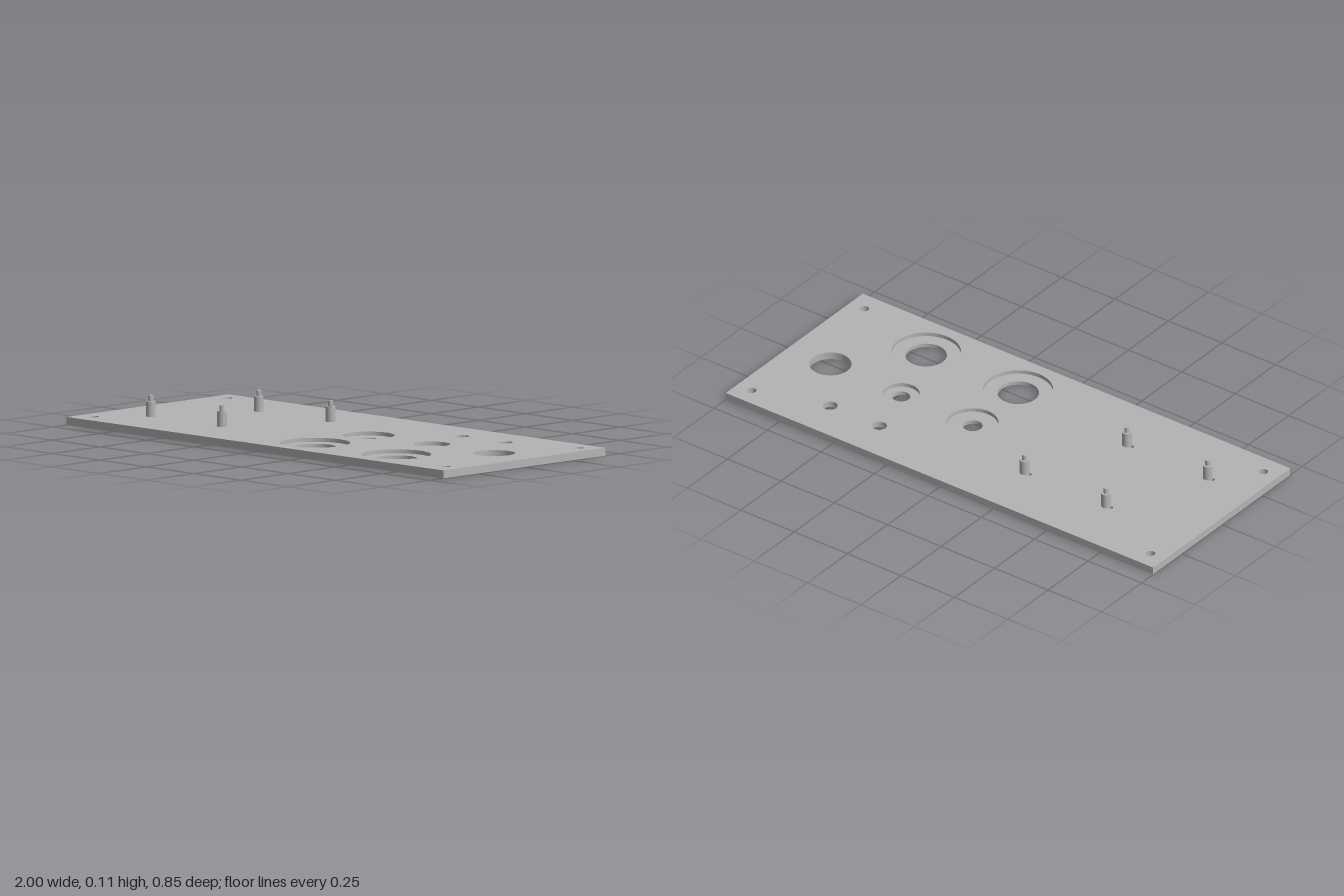
import * as THREE from 'three';

const W = 2, D = 0.854, T = 0.03, HALF = T / 2;

// Round openings: [x, z, radius in lower half, radius in upper half] (0 = closed)
const openings = [
  // countersunk control holes, recessed from above
  [0.14, 0.25, 0.078, 0.131],
  [0.571, 0.25, 0.078, 0.131],
  [0.14, -0.034, 0.037, 0.097],
  [0.474, -0.034, 0.034, 0.069],
  // plain socket hole
  [0.807, -0.032, 0.079, 0.079],
  // small holes, widened from below
  [0.405, -0.262, 0.037, 0.028],
  [0.635, -0.262, 0.037, 0.028],
  // blind pockets underneath
  [0.505, -0.27, 0.013, 0],
  [0.507, -0.197, 0.013, 0],
];
// corner screw holes
for (const x of [-0.933, 0.933])
  for (const z of [-0.355, 0.348]) openings.push([x, z, 0.018, 0.018]);

// Standoff positions, each with a tiny vent hole beside it
const standoffs = [[-0.603, -0.192], [-0.222, -0.192], [-0.792, 0.19], [-0.414, 0.19]];
for (const [x, z] of standoffs) openings.push([x - 0.021, z, 0.01, 0.01]);

// One half-thickness layer of the panel with its round holes
function panelLayer(radiusIndex, y, material) {
  const shape = new THREE.Shape();
  shape.moveTo(-W / 2, -D / 2);
  shape.lineTo(W / 2, -D / 2);
  shape.lineTo(W / 2, D / 2);
  shape.lineTo(-W / 2, D / 2);
  shape.closePath();
  for (const o of openings) {
    const r = o[radiusIndex];
    if (r > 0) shape.holes.push(new THREE.Path().absarc(o[0], -o[1], r, 0, Math.PI * 2, true));
  }
  const geometry = new THREE.ExtrudeGeometry(shape, { depth: HALF, bevelEnabled: false, curveSegments: 32 });
  geometry.rotateX(-Math.PI / 2);
  geometry.translate(0, y, 0);
  return new THREE.Mesh(geometry, material);
}

function cylinder(name, radius, y0, y1, material) {
  const mesh = new THREE.Mesh(new THREE.CylinderGeometry(radius, radius, y1 - y0, 32), material);
  mesh.position.y = (y0 + y1) / 2;
  mesh.name = name;
  return mesh;
}

export function createModel() {
  const grey = new THREE.MeshStandardMaterial({ color: 0xb4b4b4 });
  grey.name = 'panel grey';
  const model = new THREE.Group();
  model.name = 'controlPanel';

  // Panel: lower layer has the through holes and pockets, upper layer the recesses
  const lower = panelLayer(2, 0, grey);
  lower.name = 'panelLower';
  const upper = panelLayer(3, HALF, grey);
  upper.name = 'panelUpper';
  model.add(lower, upper);

  // Standoffs with a thinner locating pin on top
  for (const [x, z] of standoffs) {
    const standoff = new THREE.Group();
    standoff.name = 'standoff';
    standoff.add(cylinder('standoffPost', 0.0185, T, 0.088, grey));
    standoff.add(cylinder('standoffPin', 0.0095, 0.088, 0.11, grey));
    standoff.position.set(x, 0, z);
    model.add(standoff);
  }
  return model;
}
